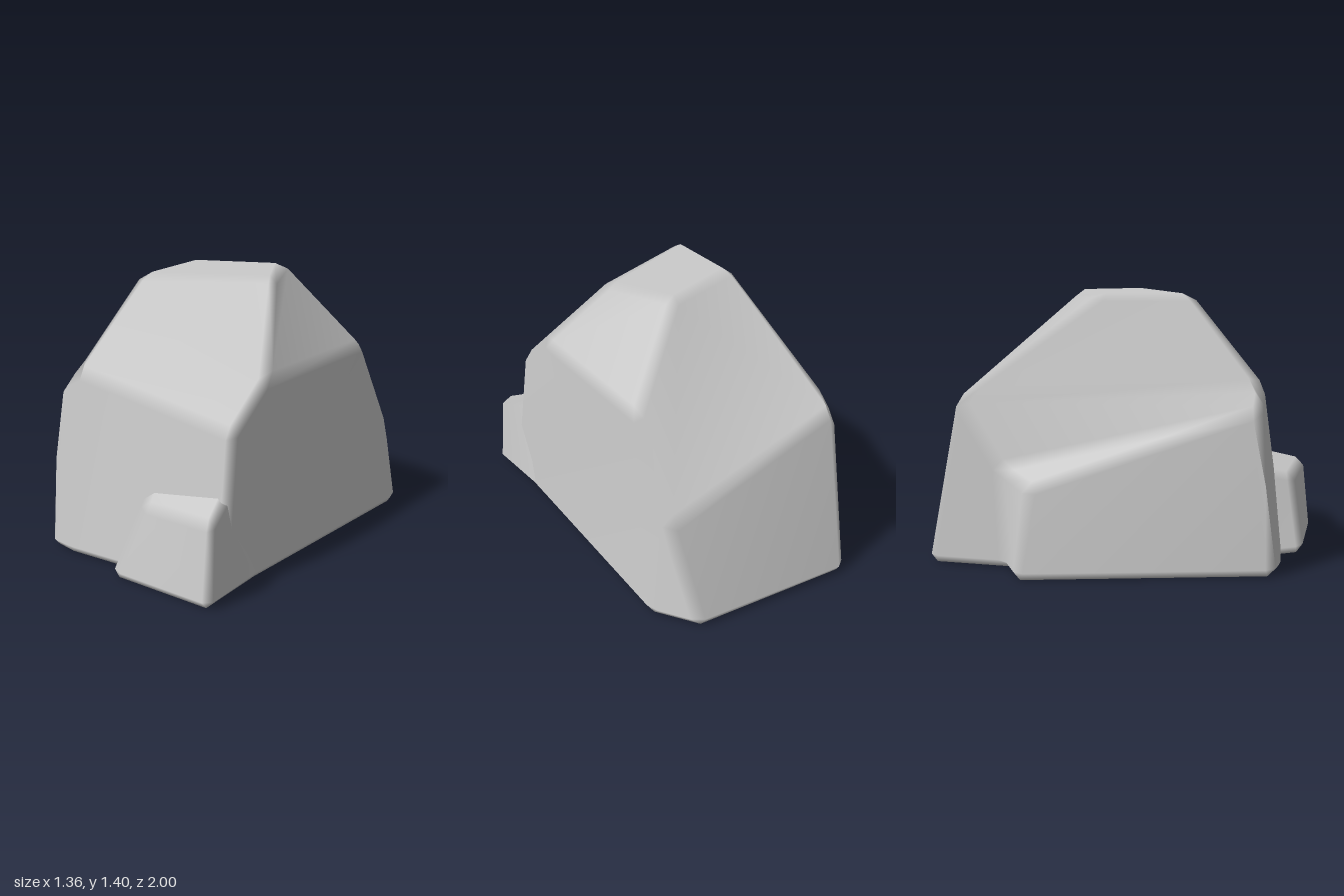
import * as THREE from 'three';

// Closed solid from corners and outward polygons (fanned from their first corner),
// every edge and corner softened by a narrow bevel with blended normals.
function bevelledStone(corners, faces, bevel) {
  const V = corners.map((c) => new THREE.Vector3(...c));
  const position = [], normal = [];
  const owner = new Map(); // directed edge "a>b" -> face index
  const inset = faces.map((face, f) => {
    const n = face.length;
    const area = new THREE.Vector3();
    face.forEach((a, i) => {
      const b = face[(i + 1) % n];
      owner.set(`${a}>${b}`, f);
      area.add(V[a].clone().cross(V[b]));
    });
    const points = new Map();
    face.forEach((a, i) => {
      const next = V[face[(i + 1) % n]].clone().sub(V[a]);
      const prev = V[face[(i + n - 1) % n]].clone().sub(V[a]);
      const local = next.clone().cross(prev);
      const nor = area.clone().add(local).normalize();
      next.normalize();
      prev.normalize();
      const turn = next.clone().cross(prev);
      const k = (Math.sign(turn.dot(area)) * bevel) / Math.max(turn.length(), 0.05);
      const p = V[a].clone().addScaledVector(next.add(prev), k);
      points.set(a, { p, nor, next: face[(i + 1) % n] });
    });
    return points;
  });

  const fan = (poly) => {
    for (let i = 1; i + 1 < poly.length; i++) {
      for (const c of [poly[0], poly[i], poly[i + 1]]) {
        position.push(c.p.x, c.p.y, c.p.z);
        normal.push(c.nor.x, c.nor.y, c.nor.z);
      }
    }
  };

  // inset faces
  faces.forEach((face, f) => fan(face.map((a) => inset[f].get(a))));
  // bevel strips along the edges
  for (const [key, f] of owner) {
    const [a, b] = key.split('>').map(Number);
    if (a > b) continue;
    const g = owner.get(`${b}>${a}`);
    fan([inset[f].get(b), inset[f].get(a), inset[g].get(a), inset[g].get(b)]);
  }
  // bevel caps at the corners
  V.forEach((_, v) => {
    const first = faces.findIndex((face) => face.includes(v));
    const ring = [];
    let f = first;
    do {
      const c = inset[f].get(v);
      ring.unshift(c);
      f = owner.get(`${c.next}>${v}`);
    } while (f !== first);
    fan(ring);
  });

  const geometry = new THREE.BufferGeometry();
  geometry.setAttribute('position', new THREE.Float32BufferAttribute(position, 3));
  geometry.setAttribute('normal', new THREE.Float32BufferAttribute(normal, 3));
  return geometry;
}

export function createModel() {
  const group = new THREE.Group();
  group.name = 'boulder';
  const material = new THREE.MeshStandardMaterial({ color: 0xcccccc });
  const add = (name, corners, faces, bevel) => {
    const mesh = new THREE.Mesh(bevelledStone(corners, faces, bevel), material);
    mesh.name = name;
    group.add(mesh);
  };

  // main rock with the low ledge on its -x side
  add('mainRock', [
    [-0.22, 1.4, -0.1], [0.23, 1.4, -0.29], [0.42, 1.4, 0.07], [-0.21, 1.4, 0.38], // 0-3 summit
    [0.6, 0.96, -0.53], [0.59, 0.49, -0.81], [0.6, 0.97, 0.44], [0.6, 0.78, 0.72], // 4-7 +x shoulder
    [-0.35, 0.95, 0.74], [-0.37, 0.88, -0.83], // 8-9 -x shoulder
    [0.69, 0, -0.78], [0.53, 0, -1.01], [-0.36, 0, -0.99], [0.63, 0, 0.85], // 10-13 base
    [-0.34, 0, 0.84], [-0.49, 0, 0.8], [-0.46, 0.84, 0.72], [-0.49, 0.47, 0.79], // 14-17 front -x corner
    [-0.43, 0, -0.57], [-0.7, 0, -0.48], [-0.42, 0.52, -0.6], [-0.59, 0.45, -0.42], // 18-21 ledge
  ], [
    [3, 2, 1, 0], // summit
    [1, 4, 5, 9, 0], [9, 5, 11, 12], [5, 10, 11], // back
    [1, 2, 6, 4], [4, 6, 7, 13, 10, 5], // +x side
    [3, 8, 7, 6, 2], [8, 14, 13, 7], [8, 16, 17, 15, 14], // front
    [3, 0, 9, 8], [9, 20, 16, 8], [9, 12, 18, 20], // -x side
    [20, 21, 16], [16, 21, 19, 15, 17], [20, 18, 19, 21], // ledge
    [18, 12, 11, 10, 13, 14, 15, 19], // underside
  ], 0.04);

  // small outcrop at the foot of the front +x corner
  add('footOutcrop', [
    [-0.06, 0, 0.78], [0.04, 0, 0.96], [0.66, 0, 1.01], [0.64, 0, 0.5],
    [0.66, 0.42, 0.97], [0.56, 0.5, 0.68], [0.2, 0.4, 0.9], [0.1, 0.45, 0.7],
  ], [
    [6, 1, 2, 4], [7, 6, 4, 5], [4, 2, 3, 5], [7, 0, 1, 6], [5, 3, 0, 7], [0, 3, 2, 1],
  ], 0.04);

  return group;
}
